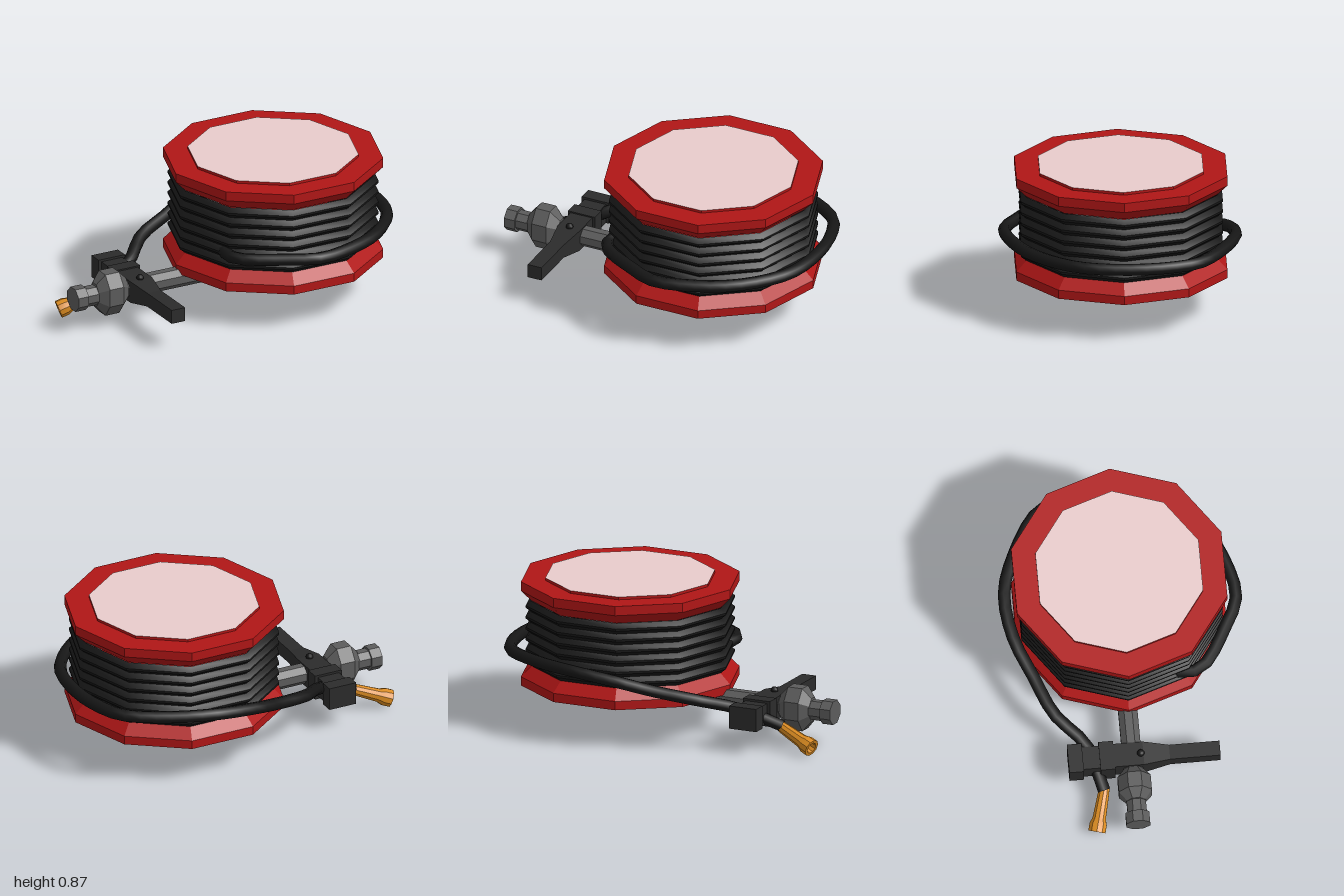
import * as THREE from 'three';
import { toCreasedNormals } from 'three/addons/utils/BufferGeometryUtils.js';

const mat = (color, extra = {}) => {
  const m = new THREE.MeshStandardMaterial({ color });
  return Object.assign(m, extra);
};
const RED = mat(0xb01616, { flatShading: true });
const PINK = mat(0xe9cccc);
const RUBBER = mat(0x161616, { side: THREE.DoubleSide });
const METAL = mat(0x5c5c5c);
const PLASTIC = mat(0x2b2b2b, { flatShading: true });
const ORANGE = mat(0xd98a20, { side: THREE.DoubleSide });

// Profile of [radius, height] pairs turned about y
function lathe(profile, sides, phi) {
  const pts = profile.map(([r, y]) => new THREE.Vector2(r, y));
  return toCreasedNormals(new THREE.LatheGeometry(pts, sides, phi), 0.5);
}

// Bar along z whose sections are [z, halfWidth, bottom, top]
function bar(sections) {
  const n = sections.length - 1;
  const g = new THREE.BoxGeometry(1, 1, 1, 1, 1, n);
  const p = g.attributes.position;
  for (let i = 0; i < p.count; i++) {
    const [z, w, lo, hi] = sections[Math.round((p.getZ(i) + 0.5) * n)];
    p.setXYZ(i, p.getX(i) * 2 * w, p.getY(i) > 0 ? hi : lo, z);
  }
  g.computeVertexNormals();
  return g;
}

export function createModel() {
  const model = new THREE.Group();
  const add = (name, geometry, material, parent = model) => {
    const mesh = new THREE.Mesh(geometry, material);
    mesh.name = name;
    parent.add(mesh);
    return mesh;
  };

  // Ten-sided drum
  const drum = new THREE.Group();
  drum.name = 'drum';
  drum.position.set(0.305, 0, -0.01);
  model.add(drum);
  const turn = Math.PI / 2;
  add('lowerFlange', lathe([[0, 0.24], [0.635, 0.24], [0.635, 0.292], [0.573, 0.355], [0, 0.355]], 10, turn), RED, drum);
  add('upperFlange', lathe([[0, 0.74], [0.573, 0.74], [0.635, 0.802], [0.635, 0.857], [0, 0.857]], 10, turn), RED, drum);
  add('capRim', lathe([[0.493, 0.85], [0.493, 0.873]], 10, turn), RED, drum);
  add('capTop', lathe([[0.493, 0.873], [0, 0.873]], 10, turn), PINK, drum);

  // Wound hose: six ridges between the flanges
  const coil = [];
  const ribs = 6, rise = 0.385 / ribs;
  for (let i = 0; i < ribs; i++) {
    const y = 0.355 + i * rise;
    coil.push([0.577, y], [0.608, y + rise * 0.4], [0.608, y + rise * 0.6]);
  }
  coil.push([0.577, 0.74]);
  add('woundHose', lathe(coil, 10, turn), RUBBER, drum);

  // Loose turn of hose leading to the nozzle
  const path = new THREE.CatmullRomCurve3([
    [-0.75, 0.145, -0.19], [-0.66, 0.18, -0.215], [-0.5, 0.24, -0.27], [-0.32, 0.31, -0.44],
    [-0.1, 0.36, -0.54], [0.12, 0.42, -0.635], [0.38, 0.458, -0.665], [0.61, 0.46, -0.59],
    [0.85, 0.46, -0.44], [0.92, 0.46, -0.3], [0.957, 0.46, -0.05], [0.905, 0.46, 0.25],
    [0.69, 0.46, 0.5], [0.43, 0.46, 0.625], [0.24, 0.46, 0.655], [0.08, 0.46, 0.585],
    [-0.165, 0.455, 0.42], [-0.18, 0.45, 0.3], [-0.1, 0.45, 0.14],
  ].map(p => new THREE.Vector3(...p)), false, 'centripetal');
  add('looseHose', new THREE.TubeGeometry(path, 48, 0.036, 8), RUBBER);

  // Flared, hollow nozzle
  const start = new THREE.Vector3(-0.73, 0.145, -0.185);
  const axis = new THREE.Vector3(-0.965, 0.055, -0.25).sub(start);
  const length = axis.length();
  const nozzle = add('nozzle', lathe([
    [0, 0], [0.03, 0], [0.034, 0.04], [0.04, length * 0.7], [0.052, length * 0.83],
    [0.052, length], [0.034, length], [0.026, length * 0.6], [0, length * 0.6],
  ], 10, 0), ORANGE);
  nozzle.position.copy(start);
  nozzle.quaternion.setFromUnitVectors(new THREE.Vector3(0, 1, 0), axis.normalize());

  // Metal pipe lying along x, eight-sided
  const pipe = new THREE.Group();
  pipe.name = 'pipe';
  pipe.position.set(0, 0.212, -0.015);
  pipe.rotation.z = -Math.PI / 2;
  model.add(pipe);
  const half = Math.PI / 8;
  add('shaft', lathe([[0, -0.95], [0.06, -0.95], [0.06, 0.09], [0, 0.09]], 8, half), METAL, pipe);
  add('endCollar', lathe([[0, -1], [0.074, -1], [0.074, -0.933], [0, -0.933]], 8, half), METAL, pipe);
  const bulb = add('valveBulb', lathe([
    [0, -0.86], [0.075, -0.86], [0.137, -0.81], [0.137, -0.72], [0.075, -0.665], [0, -0.665],
  ], 8, half), METAL, pipe);
  bulb.scale.z = 0.75;

  // Hose clamp and lever crossing the pipe
  const clamp = new THREE.Group();
  clamp.name = 'clamp';
  clamp.position.x = -0.59;
  model.add(clamp);
  add('lever', bar([
    [-0.12, 0.07, 0.145, 0.275], [0.05, 0.07, 0.145, 0.275],
    [0.2, 0.044, 0.172, 0.255], [0.49, 0.044, 0.172, 0.255],
  ]), PLASTIC, clamp);
  add('bridge', bar([[-0.3, 0.068, 0.15, 0.27], [-0.2, 0.068, 0.15, 0.27]]), PLASTIC, clamp);
  add('rearJaw', bar([[-0.382, 0.086, 0.148, 0.283], [-0.298, 0.086, 0.148, 0.283]]), PLASTIC, clamp);
  add('frontJaw', bar([[-0.202, 0.086, 0.133, 0.283], [-0.118, 0.086, 0.133, 0.283]]), PLASTIC, clamp);
  const pin = add('pivotPin', new THREE.SphereGeometry(0.022, 10, 6), RUBBER, clamp);
  pin.position.set(0, 0.28, 0.035);

  return model;
}
